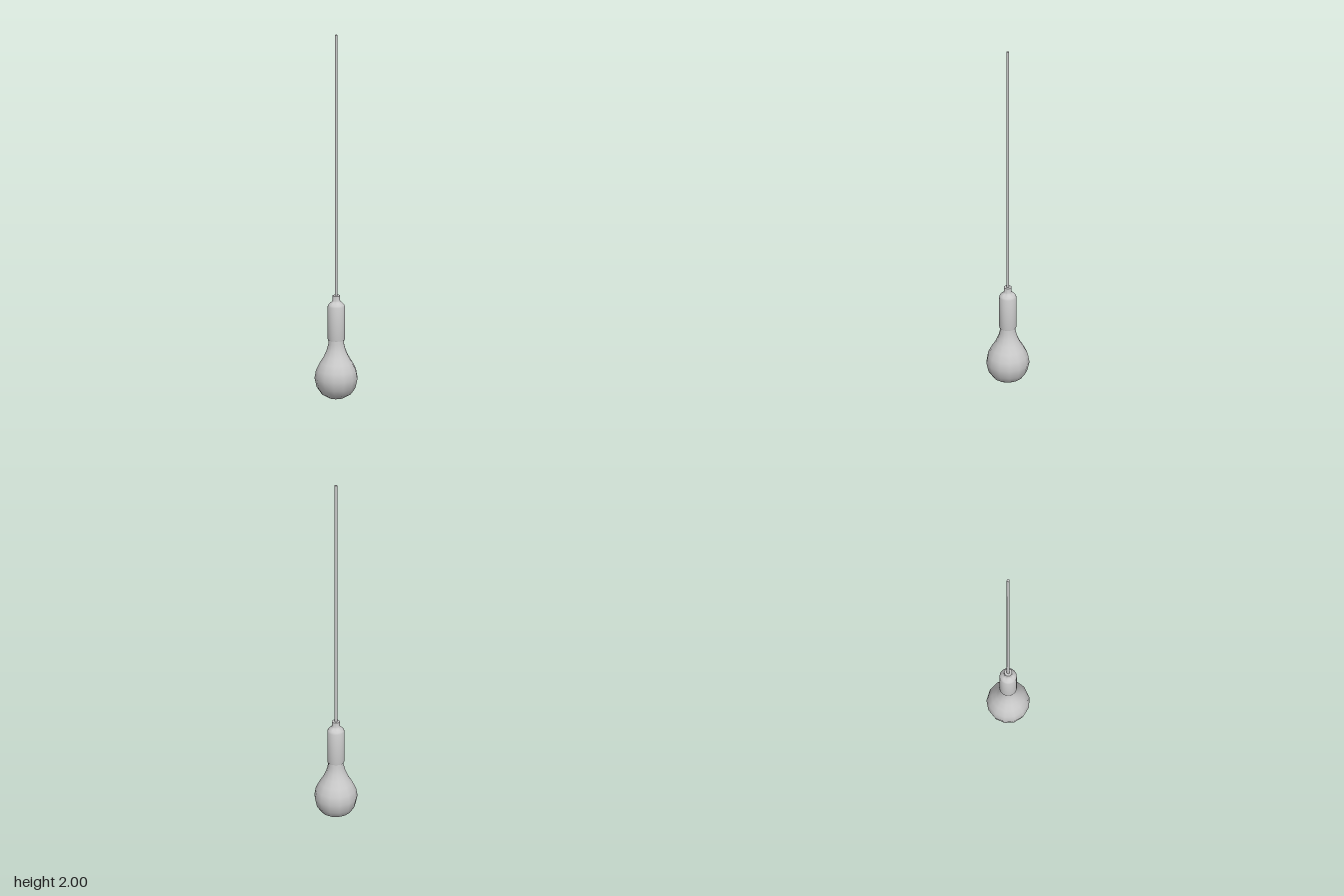
import * as THREE from 'three';
import { toCreasedNormals } from 'three/addons/utils/BufferGeometryUtils.js';

export function createModel() {
  const group = new THREE.Group();
  const material = new THREE.MeshStandardMaterial({ color: 0xcccccc });

  // Turned part from [radius, height] pairs, listed from bottom to top
  function turned(name, profile, sides, crease) {
    const points = profile.map(([r, y]) => new THREE.Vector2(r, y));
    let geometry = new THREE.LatheGeometry(points, sides);
    if (crease) geometry = toCreasedNormals(geometry, crease);
    const mesh = new THREE.Mesh(geometry, material);
    mesh.name = name;
    group.add(mesh);
    return mesh;
  }

  // Pear-shaped glass bulb, its neck running up into the socket
  const bulb = turned('bulb', [
    [0, 0], [0.042, 0.008], [0.08, 0.03], [0.105, 0.066], [0.116, 0.115],
    [0.108, 0.16], [0.088, 0.2], [0.066, 0.235], [0.051, 0.27],
    [0.042, 0.305], [0.04, 0.35],
  ], 13);
  bulb.rotation.y = 0.28;

  // Socket with rounded shoulder and narrow cord collar
  turned('socket', [
    [0, 0.33], [0.038, 0.33], [0.045, 0.325], [0.046, 0.33], [0.046, 0.508],
    [0.042, 0.518], [0.032, 0.528], [0.024, 0.535], [0.021, 0.541],
    [0.021, 0.568], [0, 0.568],
  ], 24, 0.8);

  // Hanging cord
  const cord = new THREE.Mesh(new THREE.CylinderGeometry(0.008, 0.008, 1.44, 8), material);
  cord.name = 'cord';
  cord.position.y = 1.28;
  group.add(cord);

  return group;
}
